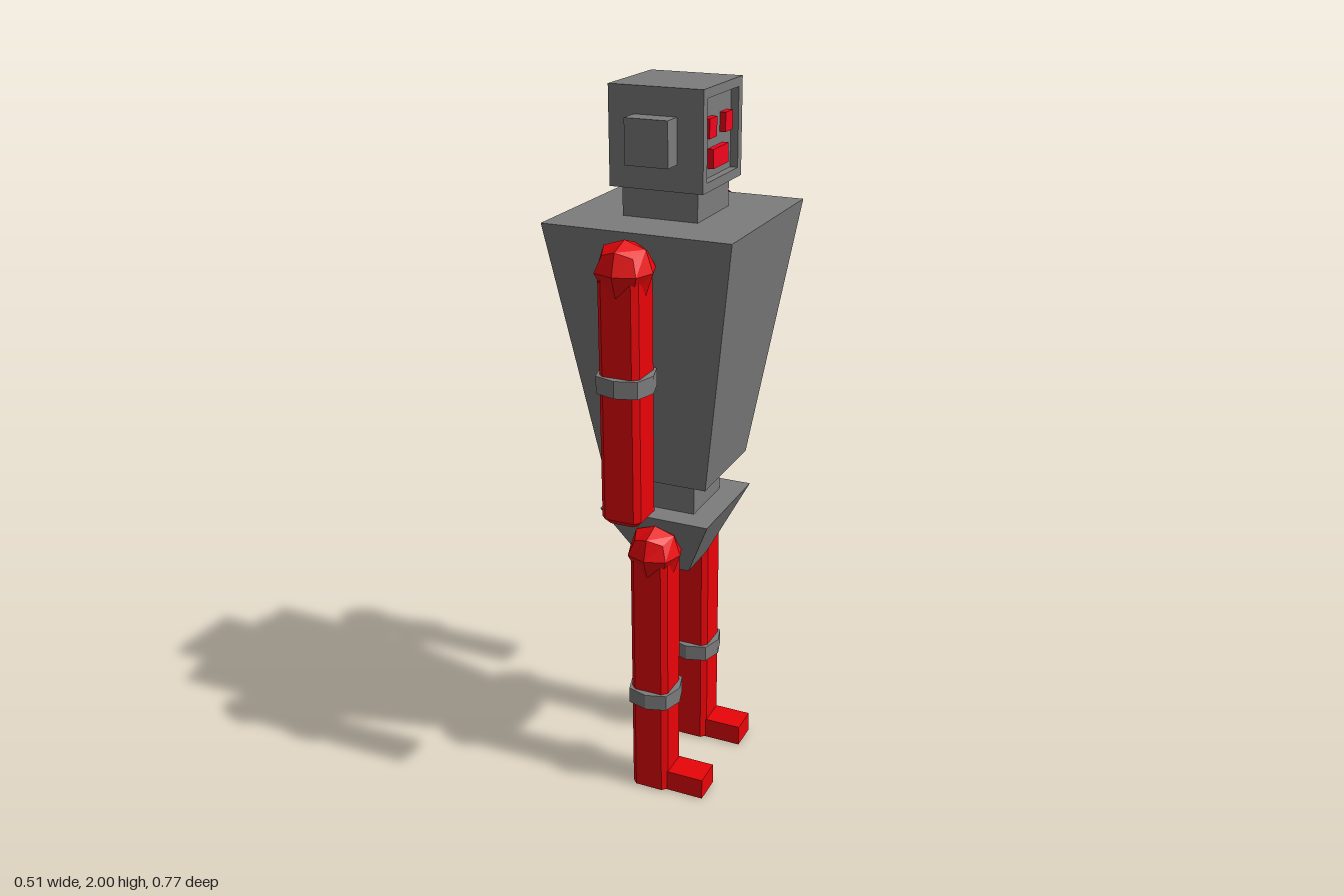
import * as THREE from 'three';

const grey = new THREE.MeshStandardMaterial({ color: 0x7c7c7c, flatShading: true });
const red = new THREE.MeshStandardMaterial({ color: 0xea0408, flatShading: true });
const brightRed = new THREE.MeshStandardMaterial({ color: 0xf4041c, flatShading: true });

function add(parent, name, geometry, material, x = 0, y = 0, z = 0) {
  const mesh = new THREE.Mesh(geometry, material);
  mesh.name = name;
  mesh.position.set(x, y, z);
  parent.add(mesh);
  return mesh;
}

// Block spanning given x, y and z ranges
function block(parent, name, material, x0, x1, y0, y1, z0, z1) {
  return add(parent, name, new THREE.BoxGeometry(x1 - x0, y1 - y0, z1 - z0), material,
    (x0 + x1) / 2, (y0 + y1) / 2, (z0 + z1) / 2);
}

// Square block that narrows from top to bottom
function taper(parent, name, top, bottom, y0, y1) {
  const g = new THREE.CylinderGeometry(top * Math.SQRT2, bottom * Math.SQRT2, y1 - y0, 4);
  g.rotateY(Math.PI / 4);
  return add(parent, name, g, grey, 0, (y0 + y1) / 2, 0);
}

// Cube rounded into 24 facets: edges and corners are pulled inwards
function ballGeometry(r) {
  const g = new THREE.BoxGeometry(2, 2, 2, 2, 2, 2);
  const p = g.attributes.position;
  const pull = [0, 1, 0.75, 0.556];
  for (let i = 0; i < p.count; i++) {
    const v = new THREE.Vector3().fromBufferAttribute(p, i).round();
    const n = Math.abs(v.x) + Math.abs(v.y) + Math.abs(v.z);
    v.multiplyScalar(r * pull[n]);
    p.setXYZ(i, v.x, v.y, v.z);
  }
  return g;
}

// Eight-sided column through [radius, y] rings, from bottom to top;
// its section is two [x, z] points repeated on all four sides
function columnGeometry(rings, quarter) {
  const section = [...quarter];
  for (let i = 0; i < 6; i++) section.push([section[i][1], -section[i][0]]);
  const g = new THREE.LatheGeometry(rings.map(([r, y]) => new THREE.Vector2(r, y)), 8);
  const p = g.attributes.position;
  for (let i = 0; i < p.count; i++) {
    const [r, y] = rings[i % rings.length];
    const [x, z] = section[Math.floor(i / rings.length) % 8];
    p.setXYZ(i, r * x, y, r * z);
  }
  return g;
}

const chamferedSquare = [[-0.73, 1], [0.73, 1]];
const bulgedSquare = [[0, 1], [0.77, 0.77]];

function band(parent, name, y) {
  const rings = [[0.05, y - 0.024], [0.074, y - 0.023], [0.074, y + 0.023], [0.05, y + 0.024]];
  add(parent, name, columnGeometry(rings, bulgedSquare), grey);
}

function createArm(side) {
  const arm = new THREE.Group();
  arm.name = side > 0 ? 'leftArm' : 'rightArm';
  add(arm, 'shoulderBall', ballGeometry(0.075), red, 0, 1.592, 0);
  const rings = [[0, 0.915], [0.041, 0.926], [0.055, 0.942], [0.055, 1.6]];
  add(arm, 'armColumn', columnGeometry(rings, chamferedSquare), red);
  band(arm, 'elbowBand', 1.308);
  arm.position.z = side * 0.308;
  return arm;
}

function createLeg(side) {
  const leg = new THREE.Group();
  leg.name = side > 0 ? 'leftLeg' : 'rightLeg';
  add(leg, 'hipBall', ballGeometry(0.075), red, 0, 0.756, 0);
  add(leg, 'legColumn', columnGeometry([[0, 0.005], [0.055, 0.008], [0.055, 0.76]], chamferedSquare), red);
  block(leg, 'foot', red, 0, 0.162, 0.006, 0.068, -0.042, 0.042);
  band(leg, 'kneeBand', 0.31);
  leg.position.z = side * 0.145;
  return leg;
}

function createHead() {
  const head = new THREE.Group();
  head.name = 'head';
  block(head, 'skull', grey, -0.127, 0.106, 1.748, 2, -0.127, 0.127);

  // Raised rim around the face
  const rim = new THREE.Shape();
  rim.moveTo(-0.127, 1.748).lineTo(0.127, 1.748).lineTo(0.127, 2).lineTo(-0.127, 2).closePath();
  const hole = new THREE.Path();
  hole.moveTo(-0.102, 1.772).lineTo(-0.102, 1.976).lineTo(0.102, 1.976).lineTo(0.102, 1.772).closePath();
  rim.holes.push(hole);
  const rimGeometry = new THREE.ExtrudeGeometry(rim, { depth: 0.021, bevelEnabled: false });
  rimGeometry.rotateY(Math.PI / 2);
  add(head, 'faceRim', rimGeometry, grey, 0.106, 0, 0);

  // Ears and eyes in pairs, one mouth
  for (const s of [-1, 1]) {
    const ear = block(head, 'ear', grey, -0.058, 0.058, 1.816, 1.931, 0.12, 0.183);
    ear.position.z *= s;
    const eye = block(head, 'eye', brightRed, 0.1, 0.122, 1.874, 1.923, 0.028, 0.076);
    eye.position.z *= s;
  }
  block(head, 'mouth', brightRed, 0.1, 0.122, 1.796, 1.845, -0.05, 0.05);
  return head;
}

export function createModel() {
  const model = new THREE.Group();
  model.name = 'robot';
  model.add(createHead());
  block(model, 'neck', grey, -0.103, 0.103, 1.66, 1.755, -0.103, 0.103);
  taper(model, 'torso', 0.256, 0.148, 0.964, 1.67);
  block(model, 'waist', grey, -0.092, 0.092, 0.855, 0.97, -0.092, 0.092);
  taper(model, 'pelvis', 0.159, 0.066, 0.668, 0.861);
  for (const s of [-1, 1]) model.add(createArm(s), createLeg(s));
  return model;
}
